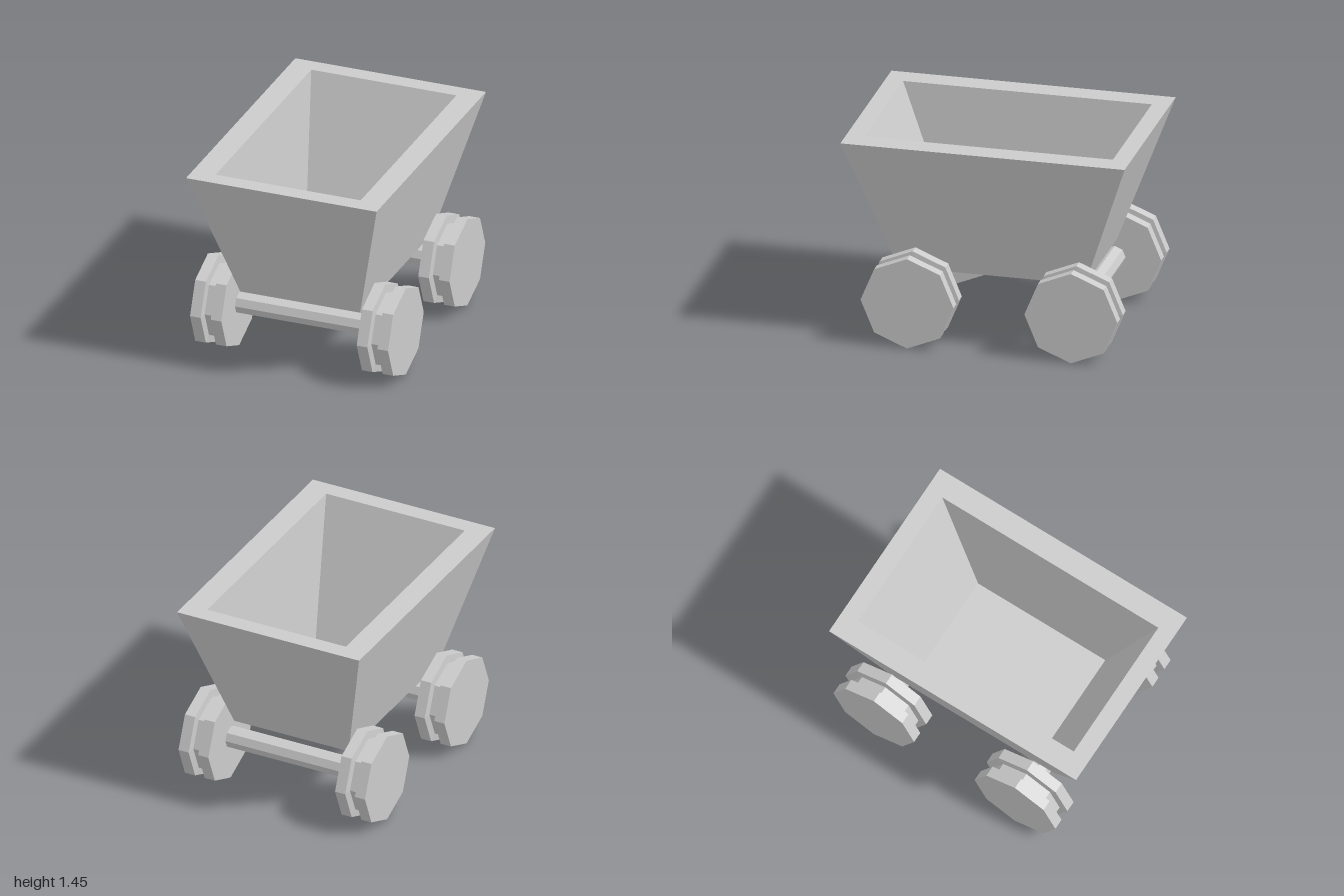
import * as THREE from 'three';

const material = new THREE.MeshStandardMaterial({ color: 0xcccccc, flatShading: true, roughness: 0.8 });

function addMesh(parent, geometry, name) {
  const mesh = new THREE.Mesh(geometry, material);
  mesh.name = name;
  parent.add(mesh);
  return mesh;
}

// Hollow tapered tub: rectangular rings run up the outside, over the rim and down inside.
function tubGeometry() {
  const rings = [
    // half width, y, half length
    [0.44, 0.48, 0.655],
    [0.70, 1.45, 1.0],
    [0.533, 1.45, 0.875],
    [0.425, 0.52, 0.515],
  ].map(([x, y, z]) => [[1, 1], [1, -1], [-1, -1], [-1, 1]].map(([sx, sz]) => [sx * x, y, sz * z]));
  const positions = [];
  const quad = (a, b, c, d) => positions.push(...a, ...b, ...c, ...a, ...c, ...d);

  for (let r = 0; r < 3; r++) {
    for (let i = 0; i < 4; i++) {
      const j = (i + 1) % 4;
      quad(rings[r][i], rings[r][j], rings[r + 1][j], rings[r + 1][i]);
    }
  }
  quad(...rings[3]); // inner floor
  quad(...[...rings[0]].reverse()); // underside

  const geometry = new THREE.BufferGeometry();
  geometry.setAttribute('position', new THREE.Float32BufferAttribute(positions, 3));
  geometry.computeVertexNormals();
  return geometry;
}

// Eight-sided wheel with a groove between two flanges, turned about the x axis.
function wheelGeometry() {
  const profile = [
    [0, -0.115], [0.327, -0.115], [0.327, -0.037], [0.268, -0.031],
    [0.268, 0.031], [0.327, 0.037], [0.327, 0.115], [0, 0.115],
  ].map(([r, h]) => new THREE.Vector2(r, h));
  return new THREE.LatheGeometry(profile, 8).rotateZ(-Math.PI / 2);
}

export function createModel() {
  const cart = new THREE.Group();
  cart.name = 'mineCart';

  addMesh(cart, tubGeometry(), 'tub');

  const wheel = wheelGeometry();
  const axle = new THREE.CylinderGeometry(0.076, 0.076, 1.02, 8).rotateZ(-Math.PI / 2);

  // Front and rear wheel sets
  for (const [end, z, wheelX] of [['front', 0.525, 0.612], ['rear', -0.625, 0.602]]) {
    const set = new THREE.Group();
    set.name = end + 'WheelSet';
    set.position.set(-0.003, 0.33, z);
    addMesh(set, axle, end + 'Axle');
    for (const [side, sign] of [['Left', 1], ['Right', -1]]) {
      addMesh(set, wheel, end + side + 'Wheel').position.x = sign * wheelX;
    }
    cart.add(set);
  }
  return cart;
}
